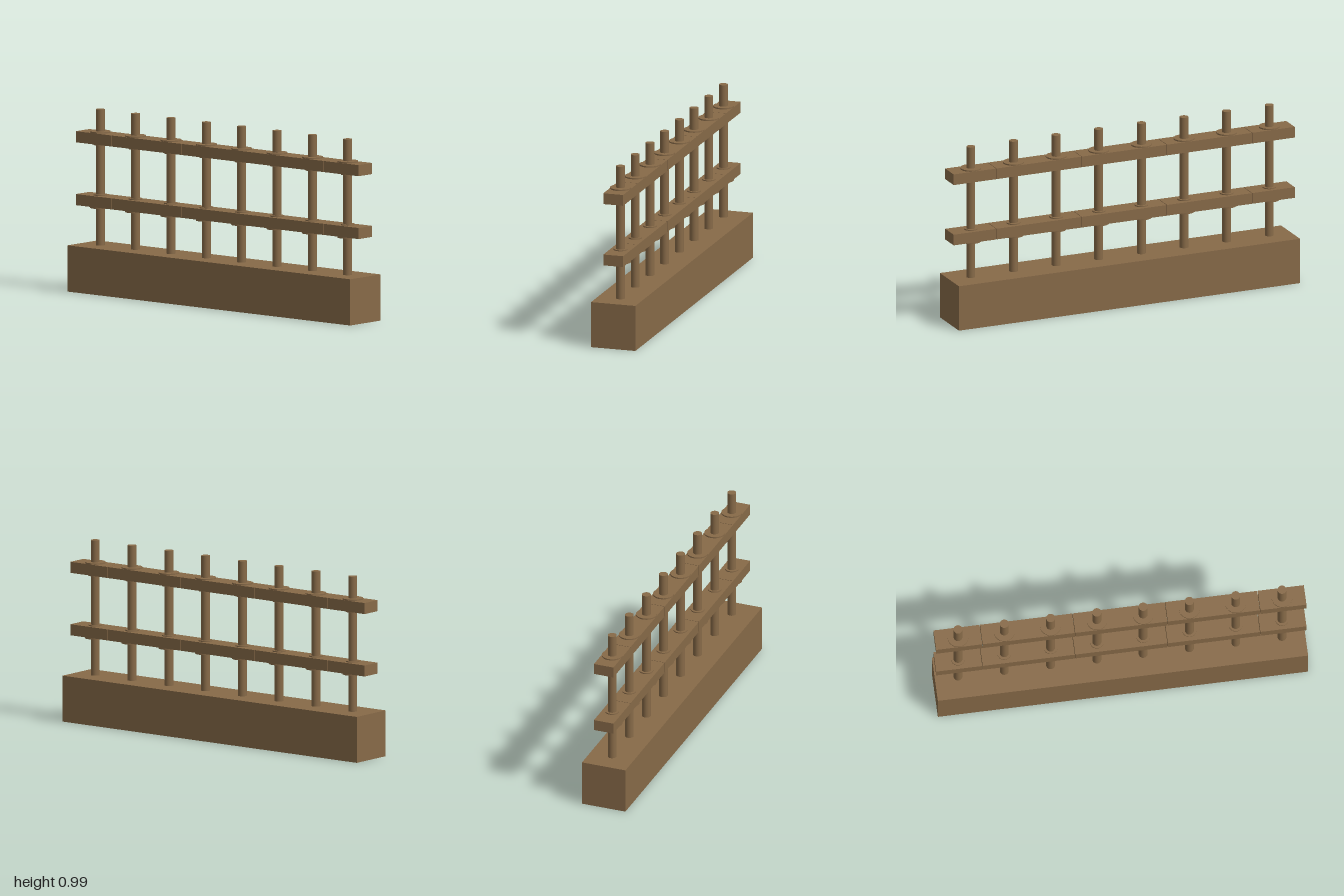
import * as THREE from 'three';

export function createModel() {
  const model = new THREE.Group();
  model.name = 'railing';
  const wood = new THREE.MeshStandardMaterial({ color: 0x876a48 });
  wood.name = 'brown wood';

  const add = (parent, geometry, name, x, y, z = 0) => {
    const mesh = new THREE.Mesh(geometry, wood);
    mesh.name = name;
    mesh.position.set(x, y, z);
    parent.add(mesh);
    return mesh;
  };

  // Solid plinth
  add(model, new THREE.BoxGeometry(2, 0.25, 0.25), 'base', 0, 0.125);

  // Two rails, each made of butted lengths with hairline joints
  const joints = [-1, -0.75, -0.25, 0.25, 0.75, 1];
  const gap = 0.003;
  for (const [name, y] of [['lowerRail', 0.49], ['upperRail', 0.83]]) {
    const rail = new THREE.Group();
    rail.name = name;
    for (let i = 0; i < joints.length - 1; i++) {
      const start = joints[i] + (i > 0 ? gap / 2 : 0);
      const end = joints[i + 1] - (i < joints.length - 2 ? gap / 2 : 0);
      add(rail, new THREE.BoxGeometry(end - start, 0.06, 0.112), 'railLength', (start + end) / 2, y);
    }
    model.add(rail);
  }

  // Round posts with a collar above and below each rail
  const postGeometry = new THREE.CylinderGeometry(0.024, 0.024, 0.745, 24);
  const wideCollar = new THREE.CylinderGeometry(0.056, 0.056, 0.008, 32);
  const narrowCollar = new THREE.CylinderGeometry(0.037, 0.037, 0.008, 32);
  for (let i = 0; i < 8; i++) {
    const post = new THREE.Group();
    post.name = 'post';
    post.position.x = -0.875 + i * 0.25;
    add(post, postGeometry, 'postShaft', 0, 0.6125);
    add(post, wideCollar, 'upperRailTopCollar', 0, 0.863);
    add(post, narrowCollar, 'upperRailBottomCollar', 0, 0.796);
    add(post, narrowCollar, 'lowerRailTopCollar', 0, 0.522);
    add(post, wideCollar, 'lowerRailBottomCollar', 0, 0.456);
    model.add(post);
  }

  return model;
}
